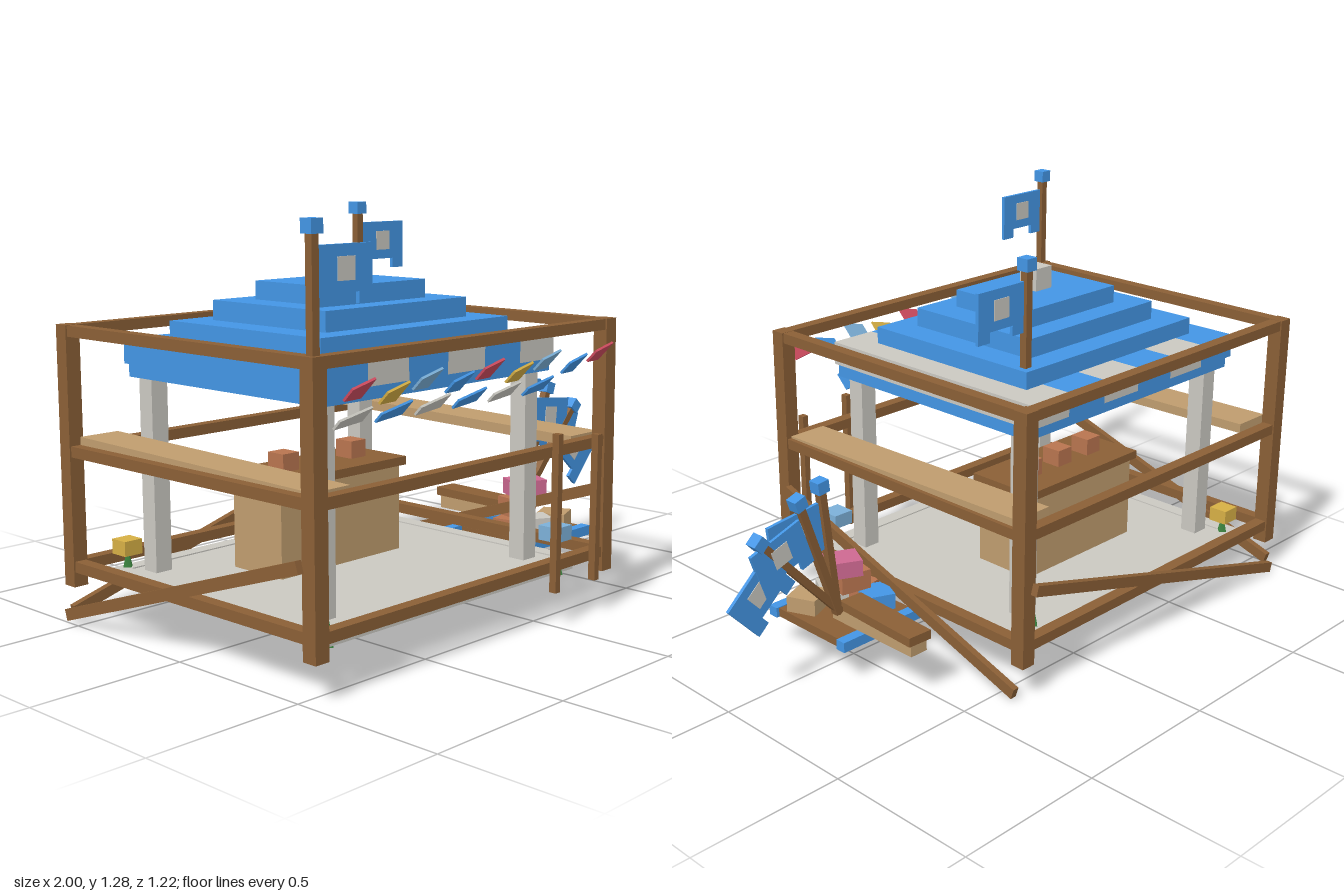
import * as THREE from 'three';

const mat = (name, color) => new THREE.MeshStandardMaterial({ name, color });

export function createModel() {
  const M = {
    wood: mat('brown wood', 0x8a5f36),
    plank: mat('tan plank', 0xbf9c6e),
    blue: mat('canvas blue', 0x4395e4),
    stone: mat('pale grey', 0xcac8c1),
    clay: mat('terracotta', 0xb8744f),
    pink: mat('pink', 0xcd6891),
    red: mat('red', 0xd04c60),
    yellow: mat('yellow', 0xd6af45),
    sky: mat('light blue', 0x7cb0d8),
    green: mat('leaf green', 0x3f8a42),
  };
  const model = new THREE.Group();
  model.name = 'marketStall';

  const group = (name, parent = model) => {
    const g = new THREE.Group();
    g.name = name;
    parent.add(g);
    return g;
  };
  // Box given by its minimum and maximum on each axis
  const box = (parent, name, m, x0, x1, y0, y1, z0, z1) => {
    const mesh = new THREE.Mesh(new THREE.BoxGeometry(x1 - x0, y1 - y0, z1 - z0), m);
    mesh.position.set((x0 + x1) / 2, (y0 + y1) / 2, (z0 + z1) / 2);
    mesh.name = name;
    parent.add(mesh);
    return mesh;
  };
  // Thin plate cut from an outline and centred on its thickness
  const plate = (parent, name, m, pts, depth) => {
    const shape = new THREE.Shape(pts.map(([x, y]) => new THREE.Vector2(x, y)));
    const geo = new THREE.ExtrudeGeometry(shape, { depth, bevelEnabled: false });
    geo.translate(0, 0, -depth / 2);
    const mesh = new THREE.Mesh(geo, m);
    mesh.name = name;
    parent.add(mesh);
    return mesh;
  };

  // Timber frame: four posts and three rings of rails
  const frame = group('frame');
  for (const [x0, x1] of [[-0.98, -0.93], [0.29, 0.34]])
    for (const [z0, z1] of [[-0.59, -0.54], [0.5, 0.55]])
      box(frame, 'post', M.wood, x0, x1, 0.115, 0.935, z0, z1);
  for (const y of [0.162, 0.527, 0.9]) {
    for (const z of [-0.565, 0.525])
      box(frame, 'crossRail', M.wood, -0.93, 0.29, y, y + 0.034, z - 0.02, z + 0.02);
    for (const x of [-0.955, 0.315])
      box(frame, 'sideRail', M.wood, x - 0.02, x + 0.02, y, y + 0.034, -0.54, 0.5);
  }

  // Diagonal braces on the back and both sides
  const backBrace = box(frame, 'backBrace', M.wood, -0.97, 0.33, 0.18, 0.215, -0.613, -0.59);
  backBrace.rotation.z = Math.atan2(0.35, 1.24);
  for (const x of [-0.99, 0.345]) {
    const b = box(frame, 'sideBrace', M.wood, x - 0.011, x + 0.011, 0.183, 0.22, -0.59, 0.53);
    b.rotation.x = -Math.atan2(0.35, 1.06);
  }

  // Sloping side shelves
  for (const [x0, x1] of [[-0.94, -0.8], [0.18, 0.32]])
    box(model, 'sideShelf', M.plank, x0, x1, 0.545, 0.577, -0.54, 0.5).rotation.x = 0.018;

  // Floor: a rim around a thin deck
  const floor = group('floor');
  for (const [z0, z1] of [[-0.505, -0.455], [0.412, 0.462]])
    box(floor, 'floorRim', M.stone, -0.875, 0.25, 0.116, 0.162, z0, z1);
  for (const [x0, x1] of [[-0.875, -0.825], [0.2, 0.25]])
    box(floor, 'floorRim', M.stone, x0, x1, 0.116, 0.162, -0.455, 0.412);
  box(floor, 'floorDeck', M.stone, -0.825, 0.2, 0.12, 0.158, -0.455, 0.412);

  // Canopy pillars
  for (const x of [-0.77, 0.127])
    for (const z of [-0.39, 0.35])
      box(model, 'pillar', M.stone, x - 0.03, x + 0.03, 0.158, 0.78, z - 0.03, z + 0.03);

  // Striped canopy with stepped roof
  const canopy = group('canopy');
  box(canopy, 'canopyBase', M.blue, -0.815, 0.177, 0.77, 0.812, -0.45, 0.41);
  const stripe = 1 / 6;
  for (let i = 0; i < 6; i++)
    box(canopy, 'canopyStripe', i % 2 ? M.stone : M.blue,
      -0.82 + i * stripe, -0.82 + (i + 1) * stripe, 0.81, 0.887, -0.467, 0.425);
  [[0.407, 0.335, 0.885, 0.943], [0.305, 0.25, 0.943, 1.005], [0.203, 0.168, 1.005, 1.063]]
    .forEach(([hx, hz, y0, y1]) =>
      box(canopy, 'roofTier', M.blue, -0.32 - hx, -0.32 + hx, y0, y1, -0.022 - hz, -0.022 + hz));
  box(canopy, 'roofCap', M.stone, -0.358, -0.283, 1.063, 1.138, -0.057, 0.016);

  // Flag on a pole; the origin is at the pole top
  const flagPole = (length, x, y, z, tilt = 0) => {
    const g = group('flagPole');
    box(g, 'pole', M.wood, -0.0125, 0.0125, -length, 0, -0.0125, 0.0125);
    box(g, 'poleCap', M.blue, -0.021, 0.021, 0, 0.04, -0.021, 0.021);
    plate(g, 'flag', M.blue, [[0.018, -0.03], [0.214, -0.03], [0.214, -0.19], [0.164, -0.19],
      [0.164, -0.157], [0.066, -0.157], [0.066, -0.19], [0.018, -0.19]], 0.012);
    box(g, 'flagPatch', M.stone, 0.084, 0.148, -0.126, -0.062, -0.008, 0.008);
    g.position.set(x, y, z);
    g.rotation.z = -tilt;
  };
  flagPole(0.32, -0.953, 1.248, 0.523);
  flagPole(0.37, 0.052, 1.248, -0.32);
  // Spare flags leaning out of the tray
  flagPole(0.43, 0.627, 0.613, -0.016, 0.115);
  flagPole(0.42, 0.718, 0.59, -0.026, 0.33);
  flagPole(0.43, 0.86, 0.51, -0.021, 0.74);

  // Bunting: tilted, slightly turned tapering pennants
  const bunting = group('bunting');
  const pennant = (m, w, h, x, y, z) => {
    const p = plate(bunting, 'pennant', m,
      [[-w / 2, -h * 0.3], [w / 2, -h / 2], [w / 2, h / 2], [-w / 2, h * 0.3]], 0.007);
    p.position.set(x, y, z);
    p.rotation.set(Math.PI / 4, 0.15, 0);
  };
  const colours = [M.red, M.yellow, M.sky, M.blue];
  for (let i = 0; i < 9; i++)
    pennant(colours[i % 4], 0.084, 0.082, -0.847 + i * 0.1317, i % 2 ? 0.813 : 0.836, 0.58);
  for (let i = 0; i < 6; i++)
    pennant(i % 2 ? M.blue : M.stone, 0.134, 0.062, -0.73 + i * 0.162, 0.73, 0.438);

  // Counter with three clay pots
  const counter = group('counter');
  box(counter, 'counterBody', M.plank, -0.583, -0.062, 0.158, 0.442, -0.24, -0.02);
  box(counter, 'counterTop', M.wood, -0.595, -0.05, 0.442, 0.47, -0.258, 0);
  for (const x of [-0.47, -0.322, -0.173])
    box(counter, 'pot', M.clay, x - 0.033, x + 0.033, 0.47, 0.527, -0.167, -0.096);

  // Stakes standing in front
  for (const [x, top] of [[-0.007, 0.612], [0.192, 0.585]])
    box(model, 'stake', M.wood, x - 0.011, x + 0.011, 0.116, top, 0.577, 0.602).rotation.x = 0.01;

  // Goods tray beside the stall
  const tray = group('tray');
  box(tray, 'trayFloor', M.wood, 0.34, 0.64, 0.118, 0.147, -0.1, 0.2);
  for (const z of [-0.113, 0.215])
    box(tray, 'trayEdge', M.blue, 0.27, 0.65, 0.116, 0.15, z - 0.018, z + 0.018);
  box(tray, 'longCrate', M.plank, 0.5, 0.565, 0.15, 0.195, -0.34, 0.02);
  box(tray, 'crateLid', M.wood, 0.49, 0.575, 0.195, 0.225, -0.355, -0.02).rotation.y = -0.05;

  // Stacked parcels: colour, x, z, base y, width, height, depth, turn
  [[M.clay, 0.4, 0.08, 0.147, 0.1, 0.053, 0.09, 0.2],
    [M.stone, 0.46, 0.13, 0.147, 0.11, 0.053, 0.09, -0.5],
    [M.plank, 0.57, 0.135, 0.147, 0.1, 0.053, 0.1, 0.4],
    [M.blue, 0.405, -0.005, 0.147, 0.1, 0.053, 0.1, -0.4],
    [M.clay, 0.447, 0.067, 0.2, 0.105, 0.065, 0.08, -0.2],
    [M.pink, 0.488, 0.068, 0.265, 0.125, 0.055, 0.095, -0.45],
  ].forEach(([m, x, z, y, w, h, d, turn]) => {
    box(tray, 'parcel', m, x - w / 2, x + w / 2, y, y + h, z - d / 2, z + d / 2).rotation.y = turn;
  });

  // Corner plants, two with block blossoms
  [[-0.822, -0.478, M.yellow, 0.205, 0.033], [0.183, 0.44, M.sky, 0.222, 0.038],
    [-0.83, 0.43, null], [0.17, -0.475, null]].forEach(([x, z, m, y, r]) => {
    const plant = group('plant');
    const leaf = new THREE.Mesh(new THREE.ConeGeometry(0.032, 0.12, 4), M.green);
    leaf.name = 'leaves';
    leaf.position.set(x, 0.17, z);
    plant.add(leaf);
    if (m) box(plant, 'blossom', m, x - r, x + r, y, y + 0.048, z - r, z + r);
  });

  return model;
}
